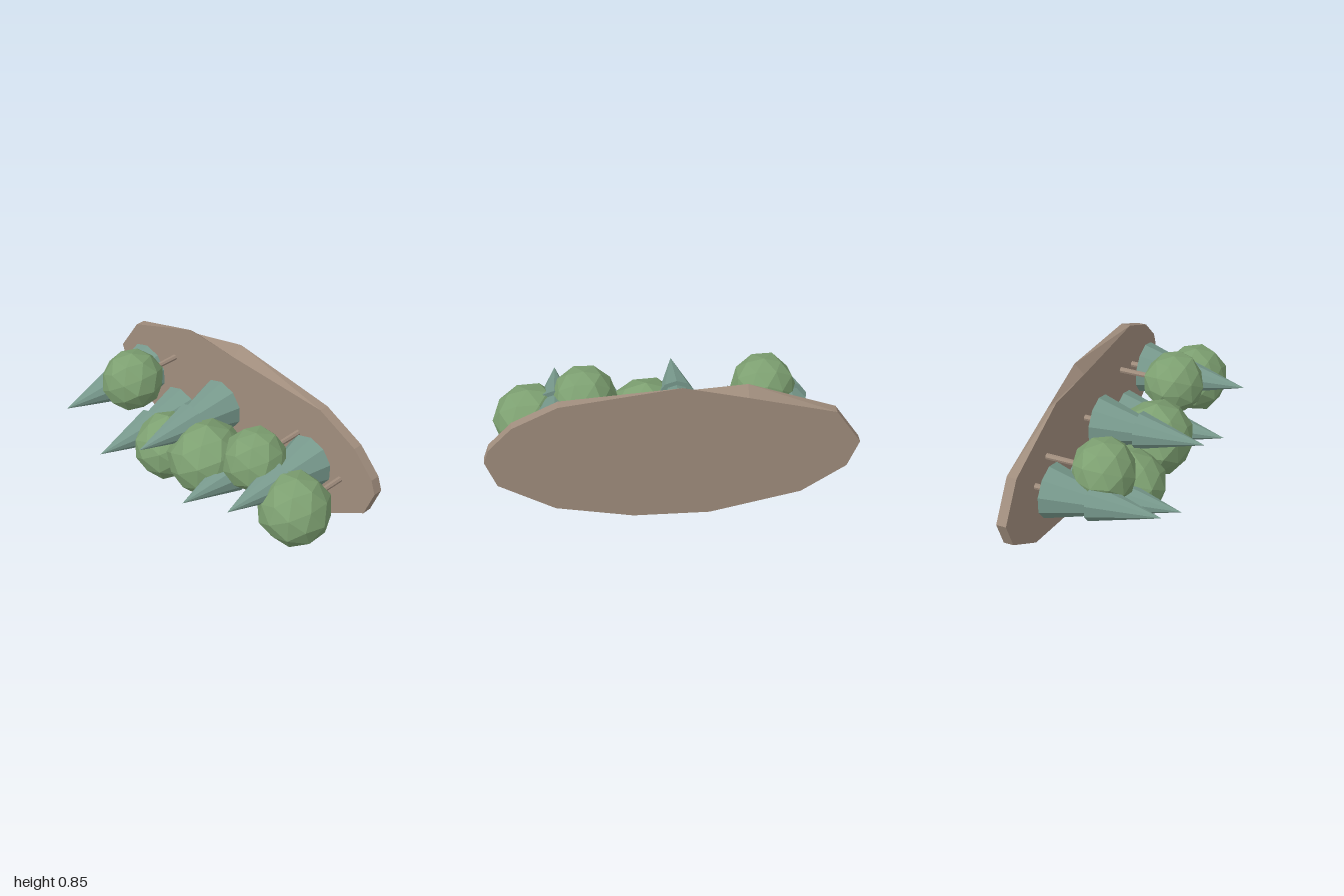
import * as THREE from 'three';
import { mergeVertices } from 'three/addons/utils/BufferGeometryUtils.js';

const material = (name, color) =>
  new THREE.MeshStandardMaterial({ name, color, flatShading: true });

export function createModel() {
  const model = new THREE.Group();
  model.name = 'forestPatch';
  const earth = material('earthBrown', 0xa08d7d);
  const leaf = material('leafGreen', 0x7da071);
  const pine = material('pineGreen', 0x789a8d);

  let seed = 7;
  const rand = () => {
    seed = (seed * 16807) % 2147483647;
    return seed / 2147483647;
  };
  const add = (parent, name, geometry, mat) => {
    const mesh = new THREE.Mesh(geometry, mat);
    mesh.name = name;
    parent.add(mesh);
    return mesh;
  };

  // Irregular slab of ground, standing upright at the back
  const outline = [
    [-0.2, 0], [0.22, 0.005], [0.64, 0.09], [0.94, 0.27], [0.998, 0.43],
    [0.97, 0.51], [0.84, 0.645], [0.595, 0.765], [-0.045, 0.85], [-0.39, 0.815],
    [-0.86, 0.645], [-1, 0.44], [-0.94, 0.28], [-0.7, 0.115],
  ].map(([x, y]) => new THREE.Vector2(x, y));
  const ground = new THREE.ExtrudeGeometry(new THREE.Shape(outline),
    { depth: 0.055, bevelEnabled: false, steps: 1 });
  const gp = ground.attributes.position;
  for (let i = 0; i < gp.count; i++) {
    const x = gp.getX(i), front = gp.getZ(i) > 0.02;
    // Opposite corners are cut on the front and back rims
    if (front && Math.abs(x + 0.045) < 0.001) gp.setY(i, 0.792);
    if (!front && Math.abs(x + 0.39) < 0.001) gp.setY(i, 0.765);
  }
  ground.translate(0, 0, -0.38);
  ground.computeVertexNormals();
  add(model, 'ground', ground, earth);

  // Trunks and cones grow along +z
  const trunk = (parent, end) => {
    const length = end + 0.335;
    const g = new THREE.CylinderGeometry(0.014, 0.017, length, 7);
    g.rotateX(Math.PI / 2).translate(0, 0, -0.335 + length / 2);
    add(parent, 'trunk', g, earth);
  };
  const cone = (parent, name, radius, base, tip) => {
    const g = new THREE.ConeGeometry(radius, tip - base, 10);
    g.rotateX(Math.PI / 2).translate(0, 0, (base + tip) / 2);
    add(parent, name, g, pine);
  };

  // Pines with two tiers: x, y
  [[-0.67, 0.47], [-0.385, 0.303], [-0.05, 0.517], [0.285, 0.35], [0.617, 0.492]]
    .forEach(([x, y]) => {
      const tree = new THREE.Group();
      tree.name = 'pineTree';
      trunk(tree, -0.2);
      cone(tree, 'lowerBranches', 0.15, -0.238, 0.27);
      cone(tree, 'upperBranches', 0.107, 0, 0.38);
      tree.position.set(x, y, 0);
      model.add(tree);
    });

  // Lumpy faceted crown
  const crown = (radius) => {
    let g = new THREE.IcosahedronGeometry(radius, 1);
    g.deleteAttribute('uv');
    g.deleteAttribute('normal');
    g = mergeVertices(g, 1e-4);
    const p = g.attributes.position;
    const v = new THREE.Vector3();
    for (let i = 0; i < p.count; i++) {
      v.fromBufferAttribute(p, i).multiplyScalar(0.96 + rand() * 0.09);
      p.setXYZ(i, v.x, v.y, v.z);
    }
    g = g.toNonIndexed();
    g.computeVertexNormals();
    return g;
  };

  // Round trees: x, y, crown depth, crown radius
  [[-0.527, 0.567, 0.005, 0.175], [-0.212, 0.28, 0.025, 0.195],
    [0.115, 0.375, 0.037, 0.218], [0.452, 0.543, 0.008, 0.174],
    [0.762, 0.4, 0.027, 0.196]]
    .forEach(([x, y, z, r]) => {
      const tree = new THREE.Group();
      tree.name = 'roundTree';
      trunk(tree, -0.08);
      add(tree, 'crown', crown(r), leaf).position.z = z;
      tree.position.set(x, y, 0);
      model.add(tree);
    });

  return model;
}
